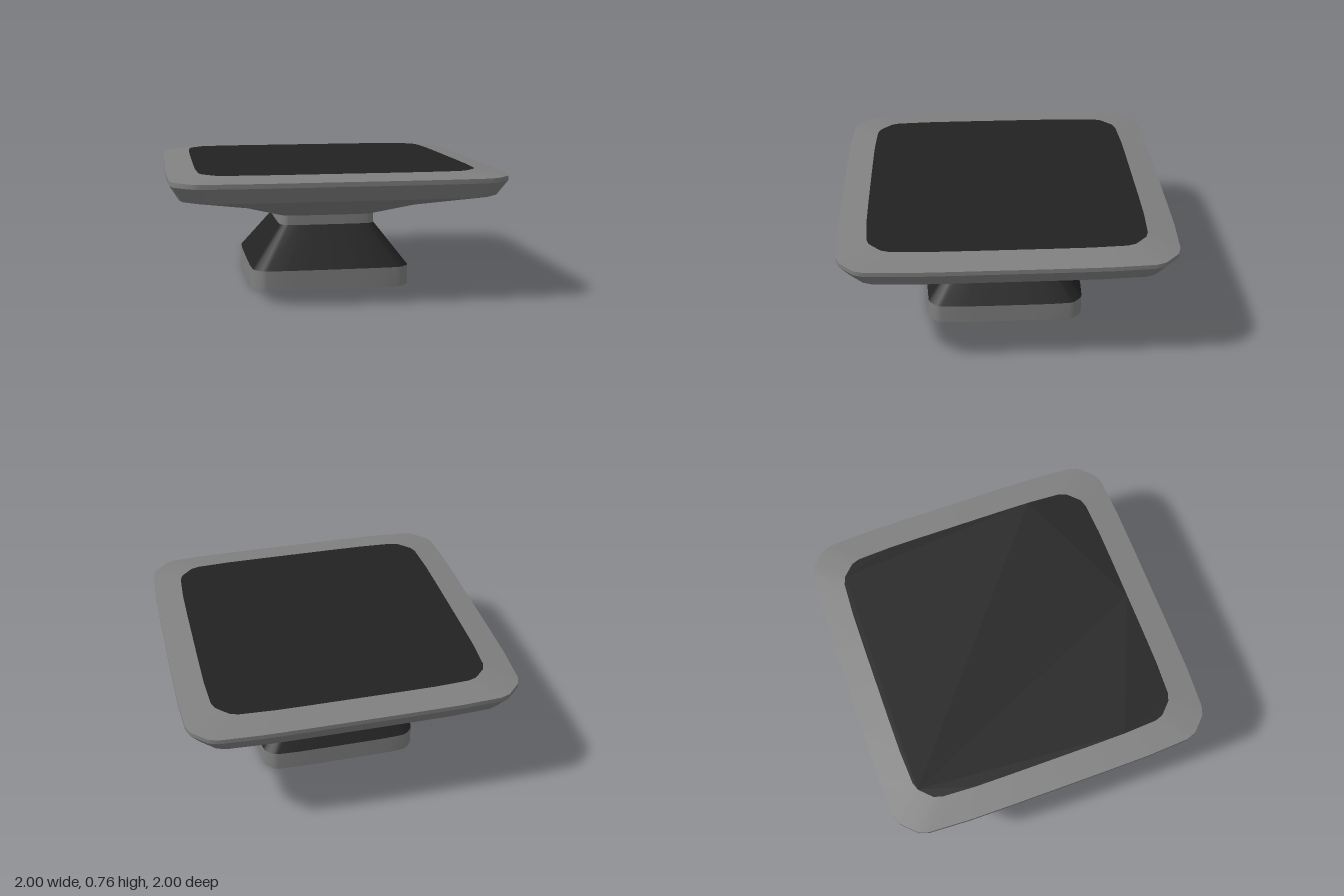
import * as THREE from 'three';

// One quarter of the rounded, slightly bulging square (unit half-width)
const QUARTER = [
  [1, 0], [1, 0.3], [0.998, 0.57], [0.985, 0.82], [0.965, 0.878],
  [0.922, 0.922], [0.878, 0.965], [0.82, 0.985], [0.57, 0.998], [0.3, 1],
];

// Full outline: the quarter turned four times
const OUTLINE = [];
for (let q = 0; q < 4; q++) {
  for (const [a, b] of QUARTER) {
    OUTLINE.push([[a, b], [-b, a], [-a, -b], [b, -a]][q]);
  }
}

// Open band through a list of [halfWidth, y] rings, ordered bottom to top on the outside
function bandGeometry(rings) {
  const n = OUTLINE.length;
  const positions = [];
  const index = [];
  rings.forEach(([w, y]) => OUTLINE.forEach(([x, z]) => positions.push(x * w, y, z * w)));
  for (let r = 0; r < rings.length - 1; r++) {
    for (let i = 0; i < n; i++) {
      const a = r * n + i;
      const b = r * n + (i + 1) % n;
      index.push(a, a + n, b, b, a + n, b + n);
    }
  }
  const geometry = new THREE.BufferGeometry();
  geometry.setAttribute('position', new THREE.Float32BufferAttribute(positions, 3));
  geometry.setIndex(index);
  geometry.computeVertexNormals();
  return geometry;
}

export function createModel() {
  const group = new THREE.Group();
  const grey = new THREE.MeshStandardMaterial({ color: 0x808080, side: THREE.DoubleSide });
  const dark = new THREE.MeshStandardMaterial({ color: 0x222222, side: THREE.DoubleSide });

  const add = (name, geometry, material) => {
    const mesh = new THREE.Mesh(geometry, material);
    mesh.name = name;
    group.add(mesh);
    return mesh;
  };

  // Hollow pedestal, open underneath
  add('baseBand', bandGeometry([[0.493, 0], [0.493, 0.122]]), grey);
  add('pedestalSlope', bandGeometry([[0.493, 0.122], [0.303, 0.37]]), dark);
  add('neck', bandGeometry([[0.303, 0.37], [0.303, 0.43]]), grey);

  // Flaring plate
  add('plateUnderside', bandGeometry([[0.303, 0.43], [0.56, 0.52], [0.945, 0.615]]), grey);
  add('plateLowerEdge', bandGeometry([[0.945, 0.615], [1, 0.705]]), grey);
  add('plateEdge', bandGeometry([[1, 0.705], [1, 0.732]]), grey);
  add('plateRim', bandGeometry([[1, 0.732], [0.83, 0.757]]), grey);

  // Dark flat top panel
  const shape = new THREE.Shape(OUTLINE.map(([x, z]) => new THREE.Vector2(x * 0.83, z * 0.83)));
  const panel = add('topPanel', new THREE.ShapeGeometry(shape), dark);
  panel.rotation.x = -Math.PI / 2;
  panel.position.y = 0.757;

  return group;
}
